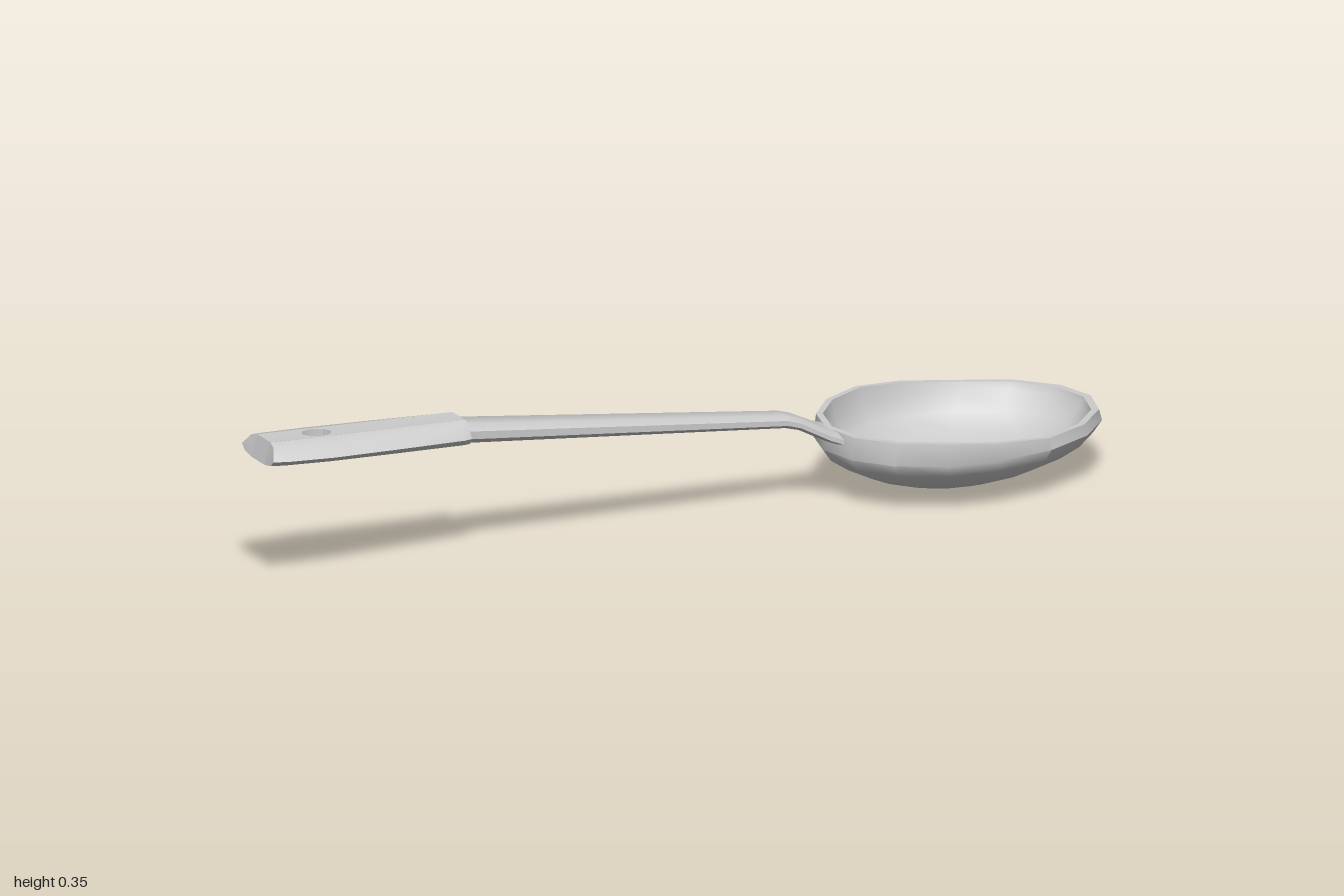
import * as THREE from 'three';
import { toCreasedNormals } from 'three/addons/utils/BufferGeometryUtils.js';

const material = new THREE.MeshStandardMaterial({ color: 0xcccccc });
const lerp = THREE.MathUtils.lerp;

function part(name, geometry, crease = 0.7) {
  const mesh = new THREE.Mesh(toCreasedNormals(geometry, crease), material);
  mesh.name = name;
  return mesh;
}

// Skin a series of equal rings and close both ends with fans
function loft(rings, startTip, endTip) {
  const n = rings[0].length, last = (rings.length - 1) * n, index = [];
  const mean = ring => [0, 1, 2].map(k => ring.reduce((sum, p) => sum + p[k], 0) / n);
  const points = [...rings.flat(), startTip ?? mean(rings[0]), endTip ?? mean(rings.at(-1))];
  const tip = rings.length * n;
  for (let j = 0; j < n; j++) {
    const k = (j + 1) % n;
    for (let a = 0; a < last; a += n) {
      index.push(a + j, a + k, a + n + j, a + k, a + n + k, a + n + j);
    }
    index.push(tip, k, j, tip + 1, last + j, last + k);
  }
  const geometry = new THREE.BufferGeometry();
  geometry.setAttribute('position', new THREE.Float32BufferAttribute(points.flat(), 3));
  geometry.setIndex(index);
  return geometry;
}

// Oval bowl: up the outside, over the rim, down the inside
function bowl() {
  const cx = 0.65, sides = 16;
  const rimY = x => lerp(0.165, 0.14, THREE.MathUtils.smoothstep(x, 0.5, 0.82));
  const ring = (s, y) => Array.from({ length: sides }, (_, i) => {
    const a = i / sides * Math.PI * 2, c = Math.cos(a);
    const x = cx + s * c * (c > 0 ? 0.345 : 0.3);
    return [x, y ?? rimY(x), -0.24 * s * Math.sin(a)];
  });
  const rings = [
    ring(0.42, 0.018), ring(0.62, 0.036), ring(0.8, 0.06), ring(0.94, 0.088), ring(1, 0.115),
    ring(0.98), ring(0.93), ring(0.91, 0.125),
    ring(0.82, 0.085), ring(0.62, 0.054), ring(0.36, 0.034),
  ];
  return loft(rings, [cx, 0, 0], [cx, 0.024, 0]);
}

// Eight-sided stem that flattens and widens into the bowl
function stem() {
  const stations = [ // x, centre y, half height, half width
    [-0.54, 0.296, 0.022, 0.043],
    [0.25, 0.199, 0.014, 0.031],
    [0.28, 0.19, 0.013, 0.036],
    [0.34, 0.159, 0.013, 0.06],
    [0.365, 0.15, 0.013, 0.068],
  ];
  const section = [[1, 0.6], [0.4, 1], [-0.4, 1], [-1, 0.6], [-1, -0.6], [-0.4, -1], [0.4, -1], [1, -0.6]];
  return loft(stations.map(([x, y, h, w]) => section.map(([v, u]) => [x, y + v * h, u * w])));
}

// Grip: flat centre strip with a hanging hole, and a rounded edge on each side
function grip() {
  const group = new THREE.Group();
  group.name = 'grip';
  const x0 = -1, x1 = -0.52, flat = 0.03;
  // v runs from -1 (underside) to 1 (top); the end leans in at the top
  const place = (x, v, z) => {
    const t = (x - x0) / (x1 - x0);
    const y = lerp(0.322, 0.298, t) + v * lerp(0.024, 0.027, t);
    return [x === x0 && v > 0 ? x + 0.015 * v : x, y, z];
  };

  const outline = new THREE.Shape([[x0, -flat], [x1, -flat], [x1, flat], [x0, flat]]
    .map(p => new THREE.Vector2(...p)));
  const hole = Array.from({ length: 8 }, (_, i) => {
    const a = i / 8 * Math.PI * 2;
    return new THREE.Vector2(-0.86 + 0.035 * Math.cos(a), 0.025 * Math.sin(a));
  });
  outline.holes.push(new THREE.Path(hole));
  const strip = new THREE.ExtrudeGeometry(outline, { depth: 2, bevelEnabled: false });
  const pos = strip.attributes.position;
  for (let i = 0; i < pos.count; i++) {
    const x = Math.abs(pos.getX(i) - x0) < 1e-5 ? x0 : pos.getX(i);
    pos.setXYZ(i, ...place(x, pos.getZ(i) - 1, -pos.getY(i)));
  }
  group.add(part('gripCentre', strip));

  const widths = [[x0, 0.074], [-0.965, 0.081], [-0.86, 0.085], [-0.7, 0.077], [-0.54, 0.067], [x1, 0.062]];
  const edge = [[1, 0], [0.75, 0.5], [-0.25, 1], [-0.75, 0.72], [-1, 0]];
  for (const side of [1, -1]) {
    const rings = widths.map(([x, w]) => {
      const ring = edge.map(([v, u]) => place(x, v, side * (flat + u * (w - flat))));
      return side > 0 ? ring : ring.reverse();
    });
    group.add(part(side > 0 ? 'gripFrontEdge' : 'gripBackEdge', loft(rings)));
  }
  return group;
}

export function createModel() {
  const model = new THREE.Group();
  model.name = 'spoon';
  model.add(part('bowl', bowl()), part('stem', stem()), grip());
  return model;
}
